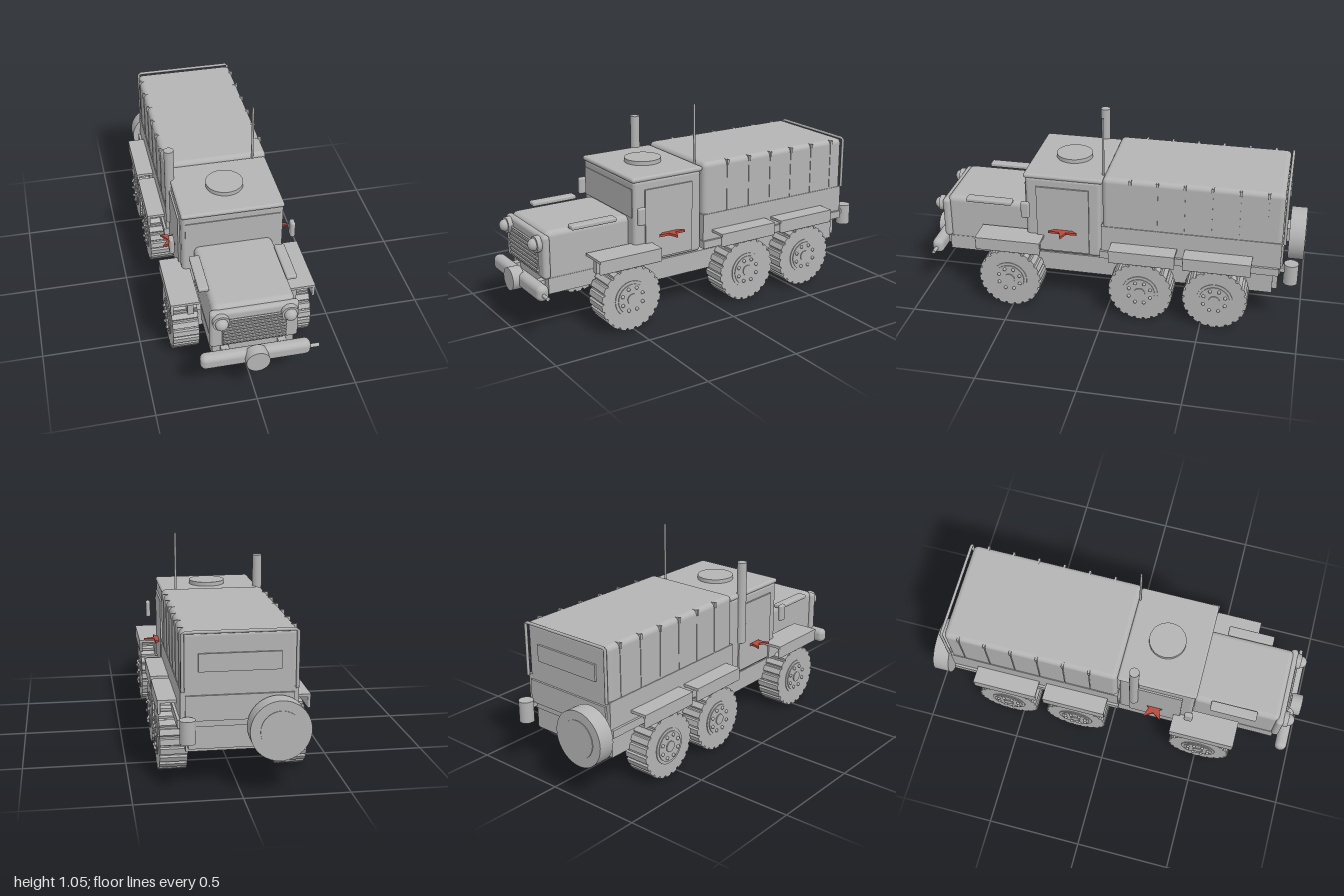
import * as THREE from 'three';
import { RoundedBoxGeometry } from 'three/addons/geometries/RoundedBoxGeometry.js';

const bodyGrey = new THREE.MeshStandardMaterial({ color: 0xb4b4b4 });
bodyGrey.name = 'body grey';
const starRed = new THREE.MeshStandardMaterial({ color: 0xb94a3d });
starRed.name = 'star red';

export function createModel() {
  const model = new THREE.Group();
  model.name = 'sixWheelTruck';

  const add = (name, geometry, x = 0, y = 0, z = 0, parent = model, material = bodyGrey) => {
    const mesh = new THREE.Mesh(geometry, material);
    mesh.name = name;
    mesh.position.set(x, y, z);
    parent.add(mesh);
    return mesh;
  };
  // Boxes are given by their limits on each axis; r rounds the edges
  const box = (name, [x0, x1], [y0, y1], [z0, z1], r = 0) => {
    const s = [x1 - x0, y1 - y0, z1 - z0];
    const g = r ? new RoundedBoxGeometry(...s, 3, r) : new THREE.BoxGeometry(...s);
    return add(name, g, (x0 + x1) / 2, (y0 + y1) / 2, (z0 + z1) / 2);
  };
  // The same box on both sides of the truck
  const pair = (name, [x0, x1], y, z, r = 0) => {
    box(name + 'Left', [x0, x1], y, z, r);
    box(name + 'Right', [-x1, -x0], y, z, r);
  };
  const cylinder = (name, r, h, axis, x, y, z, sides = 32) => {
    const g = new THREE.CylinderGeometry(r, r, h, sides);
    if (axis === 'x') g.rotateZ(Math.PI / 2);
    if (axis === 'z') g.rotateX(Math.PI / 2);
    return add(name, g, x, y, z);
  };
  const rod = (name, points, r) => {
    const path = new THREE.CurvePath();
    const v = points.map((p) => new THREE.Vector3(...p));
    for (let i = 1; i < v.length; i++) path.add(new THREE.LineCurve3(v[i - 1], v[i]));
    return add(name, new THREE.TubeGeometry(path, 60, r, 8));
  };

  // Chassis and axles
  box('chassis', [-0.245, 0.245], [0.18, 0.285], [-0.85, 0.62]);
  box('frontApron', [-0.2, 0.2], [0.22, 0.3], [0.6, 0.88]);
  const wheelZ = [0.51, -0.185, -0.57];
  for (const z of wheelZ) cylinder('axle', 0.025, 0.5, 'x', 0, 0.165, z, 16);

  // Wheels: toothed tyre, hub, cap and a ring of bolts
  const teeth = 22;
  const treadShape = new THREE.Shape();
  for (let i = 0; i < teeth; i++) {
    [[0, 0.156], [0.12, 0.166], [0.72, 0.166], [0.84, 0.156]].forEach(([f, r], k) => {
      const a = ((i + f) / teeth) * Math.PI * 2;
      treadShape[i + k === 0 ? 'moveTo' : 'lineTo'](r * Math.cos(a), r * Math.sin(a));
    });
  }
  const treadGeo = new THREE.ExtrudeGeometry(treadShape, { depth: 0.132, bevelEnabled: false });
  treadGeo.translate(0, 0, -0.066);
  const disc = (r, h) => new THREE.CylinderGeometry(r, r, h, 32).rotateX(Math.PI / 2);
  const hubGeo = disc(0.093, 0.008);
  const plateGeo = disc(0.078, 0.012);
  const capGeo = disc(0.028, 0.022);
  const boltGeo = new THREE.SphereGeometry(0.009, 10, 8);
  for (const side of [1, -1]) {
    for (const z of wheelZ) {
      const wheel = new THREE.Group();
      wheel.name = 'wheel';
      wheel.position.set(side * 0.286, 0.166, z);
      wheel.rotation.y = side * Math.PI / 2;
      add('tyre', treadGeo, 0, 0, 0, wheel);
      add('rim', hubGeo, 0, 0, 0.066, wheel);
      add('hubPlate', plateGeo, 0, 0, 0.068, wheel);
      add('hubCap', capGeo, 0, 0, 0.068, wheel);
      for (let i = 0; i < 8; i++) {
        const a = ((i + 0.5) / 8) * Math.PI * 2;
        add('bolt', boltGeo, 0.06 * Math.cos(a), 0.06 * Math.sin(a), 0.076, wheel);
      }
      model.add(wheel);
    }
  }

  // Fenders: flat top with an outer lip
  for (const [z0, z1] of [[0.34, 0.685], [-0.36, -0.02], [-0.745, -0.4]]) {
    pair('fenderTop', [0.22, 0.363], [0.383, 0.397], [z0, z1]);
    pair('fenderLip', [0.348, 0.363], [0.327, 0.397], [z0, z1], 0.005);
  }
  pair('fenderBracket', [0.245, 0.275], [0.3, 0.385], [0.36, 0.66]);
  pair('runningBoard', [0.24, 0.285], [0.305, 0.345], [-0.88, 0.04]);

  // Hood, side boxes and grille
  box('hood', [-0.2, 0.2], [0.28, 0.535], [0.42, 0.885], 0.03);
  pair('hoodSideBox', [0.188, 0.24], [0.532, 0.555], [0.52, 0.765], 0.008);
  box('grilleFrame', [-0.215, 0.215], [0.3, 0.52], [0.868, 0.908], 0.018);
  box('grillePlate', [-0.157, 0.157], [0.32, 0.47], [0.9, 0.912]);
  for (let i = 0; i < 7; i++) {
    const y = 0.33 + i * 0.021;
    box('grilleSlat', [-0.153, 0.153], [y, y + 0.01], [0.91, 0.92]);
  }

  // Headlights
  for (const s of [1, -1]) {
    cylinder('headlightRim', 0.041, 0.026, 'z', s * 0.165, 0.475, 0.918);
    const lens = add('headlightLens', new THREE.SphereGeometry(0.031, 24, 16), s * 0.165, 0.475, 0.935);
    lens.scale.z = 0.9;
  }
  cylinder('headlightBar', 0.005, 0.25, 'x', 0, 0.475, 0.915, 8);

  // Bumper with central drum and side pin
  box('bumper', [-0.27, 0.27], [0.215, 0.295], [0.905, 0.968], 0.028);
  cylinder('bumperDrum', 0.058, 0.06, 'z', 0, 0.257, 0.97);
  cylinder('bumperPin', 0.01, 0.06, 'x', 0.285, 0.25, 0.94, 12);
  pair('bumperMount', [0.12, 0.16], [0.23, 0.28], [0.85, 0.92]);

  // Cab, windscreen, doors and roof
  box('cab', [-0.258, 0.258], [0.29, 0.725], [0.04, 0.435], 0.02);
  box('roof', [-0.26, 0.26], [0.715, 0.74], [0.03, 0.443], 0.012);
  box('windscreen', [-0.24, 0.24], [0.535, 0.682], [0.432, 0.439]);
  pair('door', [0.256, 0.267], [0.31, 0.675], [0.1, 0.375]);
  cylinder('roofHatch', 0.095, 0.03, 'y', 0, 0.746, 0.23, 40);
  pair('mirror', [0.295, 0.32], [0.515, 0.605], [0.4, 0.445], 0.01);

  // Exhaust stack and aerial
  cylinder('exhaustStack', 0.025, 0.44, 'y', -0.26, 0.69, 0.12, 20);
  cylinder('aerial', 0.006, 0.75, 'y', 0.19, 0.675, 0.038, 10);

  // Horizontal star on each door
  const star = new THREE.Shape();
  for (let i = 0; i < 10; i++) {
    const r = i % 2 ? 0.032 : 0.08;
    const a = (i / 10) * Math.PI * 2;
    star[i ? 'lineTo' : 'moveTo'](r * Math.cos(a), r * Math.sin(a));
  }
  const starGeo = new THREE.ExtrudeGeometry(star, { depth: 0.012, bevelEnabled: false });
  starGeo.rotateX(-Math.PI / 2);
  for (const s of [1, -1]) add('doorStar', starGeo, s * 0.265, 0.425, 0.235, model, starRed);

  // Cargo bed and canopy with tie-down seams
  box('cargoBed', [-0.272, 0.272], [0.31, 0.485], [-0.885, 0.035]);
  box('canopy', [-0.268, 0.268], [0.44, 0.757], [-0.885, 0.03], 0.026);
  for (let i = 0; i < 6; i++) {
    const z = -0.115 - i * 0.138;
    pair('canopySeam', [0.264, 0.271], [0.485, 0.735], [z - 0.003, z + 0.003]);
    pair('canopyHook', [0.243, 0.274], [0.728, 0.757], [z - 0.006, z + 0.006]);
  }

  // Rear window, rack and lower bumper
  box('rearWindow', [-0.19, 0.19], [0.57, 0.655], [-0.895, -0.88]);
  rod('rearRack', [[-0.262, 0.48, -0.897], [-0.262, 0.755, -0.897],
    [0.262, 0.755, -0.897], [0.262, 0.48, -0.897]], 0.008);
  box('tailBoard', [-0.25, 0.25], [0.34, 0.46], [-0.895, -0.88]);
  box('rearBumper', [-0.235, 0.235], [0.2, 0.31], [-0.875, -0.84]);

  // Spare wheel and canister on the tail
  cylinder('spareWheel', 0.142, 0.085, 'z', -0.17, 0.312, -0.954, 40);
  cylinder('spareCover', 0.095, 0.01, 'z', -0.17, 0.312, -0.995, 40);
  box('spareMount', [-0.22, -0.12], [0.28, 0.36], [-0.93, -0.85]);
  cylinder('canister', 0.037, 0.11, 'y', 0.245, 0.31, -0.938, 20);
  box('canisterMount', [0.225, 0.265], [0.32, 0.345], [-0.93, -0.87]);

  return model;
}
